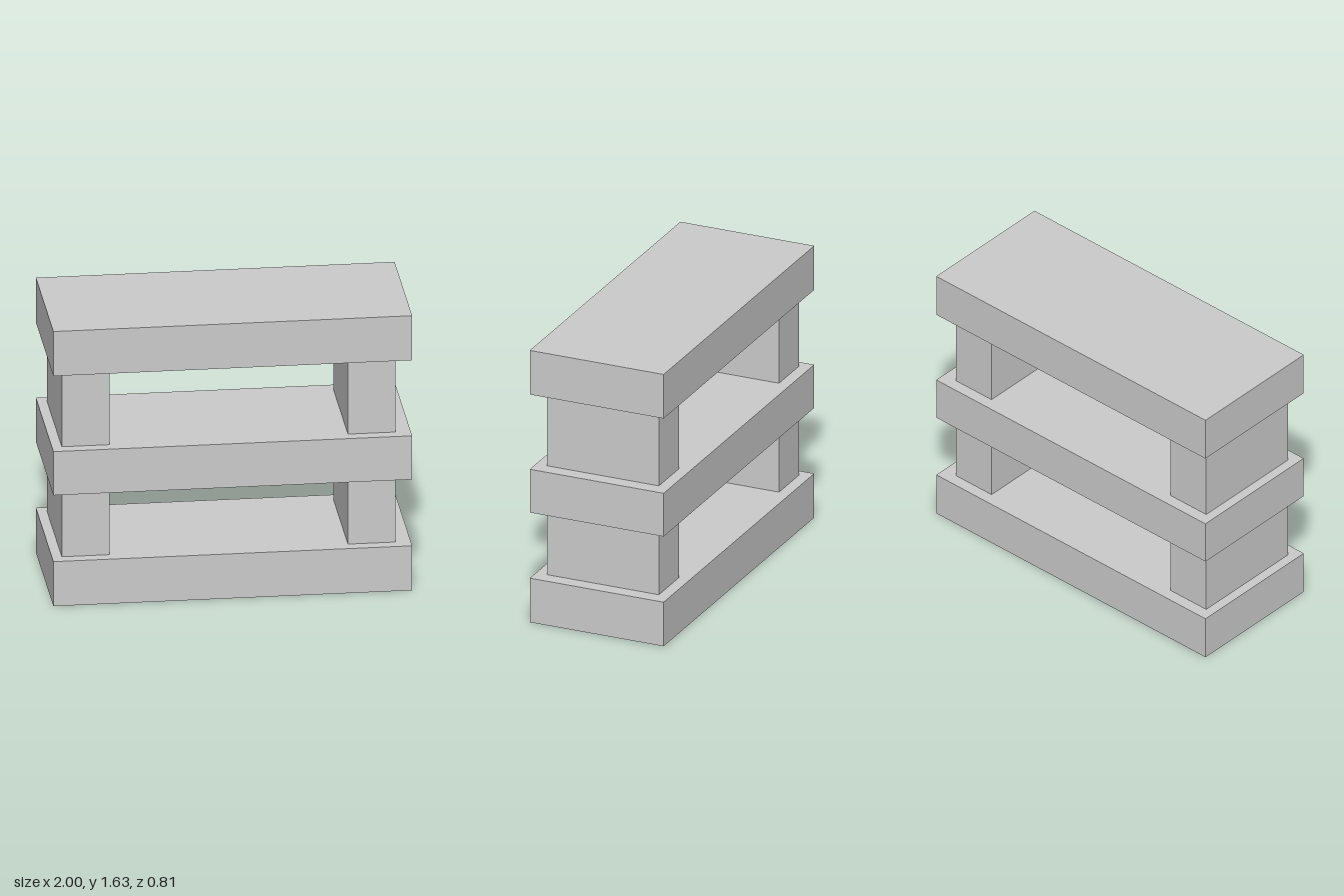
import * as THREE from 'three';

export function createModel() {
  const group = new THREE.Group();
  const material = new THREE.MeshStandardMaterial({ color: 0xcccccc, flatShading: true });

  // Box spanning the given x and y ranges, centred on z
  function addBox(name, x0, x1, y0, y1, depth) {
    const mesh = new THREE.Mesh(new THREE.BoxGeometry(x1 - x0, y1 - y0, depth), material);
    mesh.position.set((x0 + x1) / 2, (y0 + y1) / 2, 0);
    mesh.name = name;
    group.add(mesh);
  }

  // Three thick slabs
  const slabs = [
    ['bottomSlab', 0, 0.265],
    ['middleSlab', 0.66, 0.92],
    ['topSlab', 1.37, 1.635],
  ];
  for (const [name, y0, y1] of slabs) addBox(name, -1, 1, y0, y1, 0.815);

  // A pair of uprights in each gap, set slightly off centre in x
  ['lower', 'upper'].forEach((level, i) => {
    const y0 = slabs[i][2], y1 = slabs[i + 1][1];
    addBox(level + 'RightUpright', -0.945, -0.68, y0, y1, 0.68);
    addBox(level + 'LeftUpright', 0.65, 0.915, y0, y1, 0.68);
  });

  return group;
}
